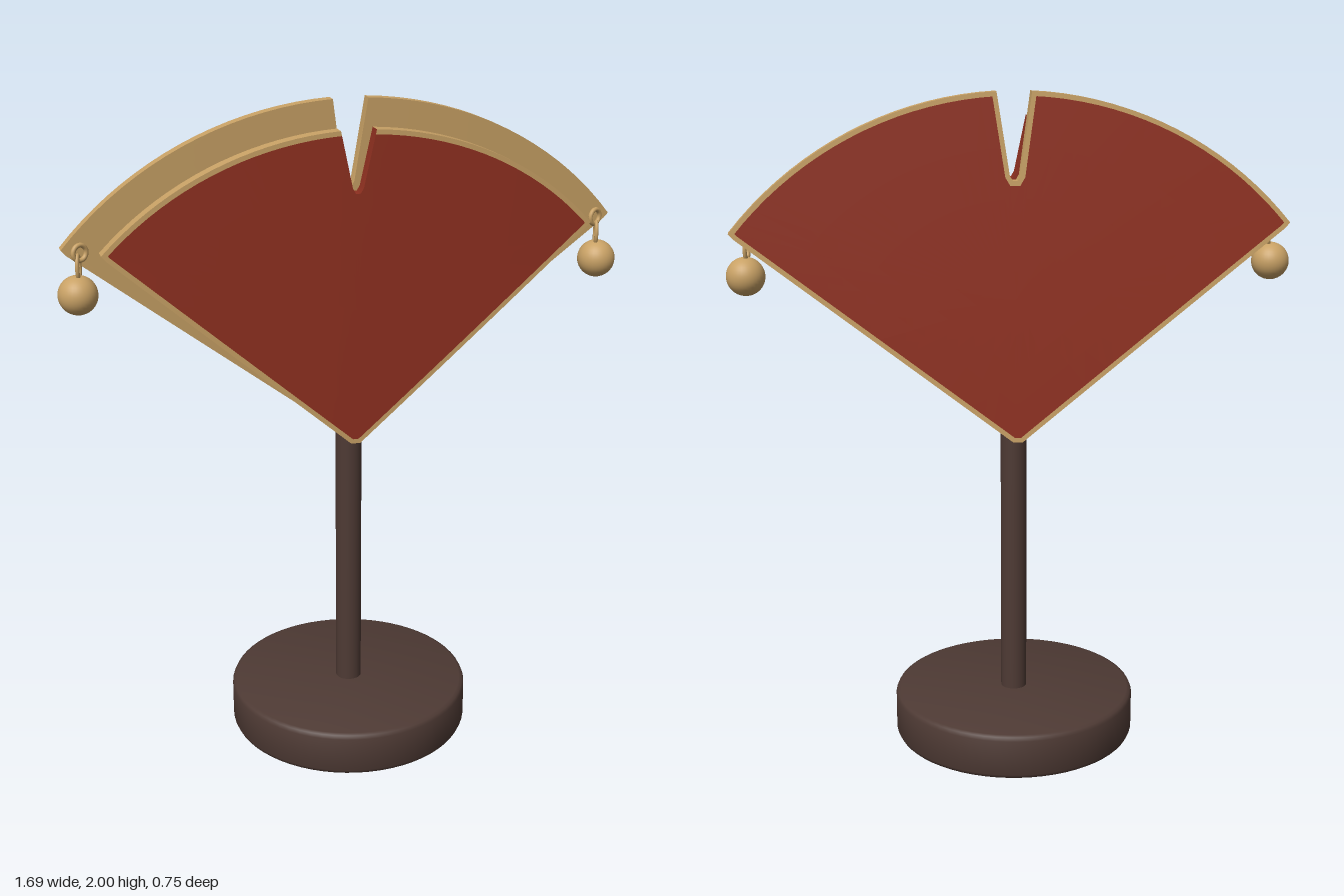
import * as THREE from 'three';
import { toCreasedNormals } from 'three/addons/utils/BufferGeometryUtils.js';

const paint = (name, color) => {
  const m = new THREE.MeshStandardMaterial({ color });
  m.name = name;
  return m;
};

// Fan outline, counter-clockwise from the right of the apex; notch marks edges of the top slit
function fanOutline({ cornerX, cornerY, topY, apexY, arcY = 0.92 }) {
  const half = [];
  const chamfer = [cornerX - 0.014, cornerY - 0.016];
  for (let i = 0; i <= 12; i++) {
    const t = i / 12;
    half.push([0.014 + (chamfer[0] - 0.014) * t, apexY + (chamfer[1] - apexY) * t]);
  }
  const a0 = Math.atan2(cornerY - arcY, cornerX);
  const a1 = Math.atan2(topY - arcY, 0.052);
  const r0 = Math.hypot(cornerX, cornerY - arcY), r1 = Math.hypot(0.052, topY - arcY);
  for (let i = 0; i <= 18; i++) {
    const t = i / 18, a = a0 + (a1 - a0) * t, r = r0 + (r1 - r0) * t;
    half.push([Math.cos(a) * r, arcY + Math.sin(a) * r]);
  }
  const slitStart = half.length - 1;
  half.push([0.016, 1.76], [0.007, 1.745]);
  const mirrored = half.map(([x, y]) => [-x, y]).reverse();
  const points = [...half, ...mirrored];
  const slitEnd = points.length - 1 - slitStart;
  return { points, isSlit: (k) => k >= slitStart && k < slitEnd };
}

// Shift every edge inward by its own distance and intersect neighbours
function insetOutline(points, distance) {
  const n = points.length;
  const normal = (k) => {
    const [ax, ay] = points[k], [bx, by] = points[(k + 1) % n];
    const l = Math.hypot(bx - ax, by - ay);
    return [-(by - ay) / l, (bx - ax) / l];
  };
  return points.map(([x, y], k) => {
    const p = (k + n - 1) % n;
    const [ux, uy] = normal(p), [vx, vy] = normal(k);
    const du = distance(p), dv = distance(k), det = ux * vy - uy * vx;
    if (Math.abs(det) < 1e-3) return [x + ux * du, y + uy * du];
    return [x + (du * vy - dv * uy) / det, y + (ux * dv - vx * du) / det];
  });
}

// Leaning, slightly bowed fan leaf: rim mesh and coloured face mesh
function makeLeaf(name, o, rimMat, faceMat) {
  const { points, isSlit } = fanOutline(o);
  const n = points.length;
  const inner = insetOutline(points, (k) => (o.redSlit && isSlit(k) ? 0 : 0.014));
  const hub = [0, 1.4];
  const rings = [points];
  for (const s of [1, 0.75, 0.5, 0.25, 0]) {
    rings.push(inner.map(([x, y]) => [hub[0] + (x - hub[0]) * s, hub[1] + (y - hub[1]) * s]));
  }
  const place = ([x, y], side) => [x, y, o.z + (y - o.apexY) * o.lean - o.bow * x * x + side * o.halfThickness];
  const rim = [], face = [];
  const quad = (out, a, b, c, d) => out.push(...a, ...b, ...c, ...a, ...c, ...d);
  for (let k = 0; k < n; k++) {
    const m = (k + 1) % n;
    for (let r = 0; r < rings.length - 1; r++) {
      const loop = [rings[r][k], rings[r][m], rings[r + 1][m], rings[r + 1][k]];
      const back = [...loop].reverse();
      quad(r === 0 || o.plainFront ? rim : face, ...loop.map((p) => place(p, 1)));
      quad(r === 0 ? rim : face, ...back.map((p) => place(p, -1)));
    }
    const a = points[k], b = points[m];
    quad(o.redSlit && isSlit(k) ? face : rim, place(a, 1), place(a, -1), place(b, -1), place(b, 1));
  }
  const group = new THREE.Group();
  group.name = name;
  for (const [part, data, mat] of [['Rim', rim, rimMat], ['Faces', face, faceMat]]) {
    const geo = new THREE.BufferGeometry();
    geo.setAttribute('position', new THREE.Float32BufferAttribute(data, 3));
    const mesh = new THREE.Mesh(toCreasedNormals(geo, 0.5), mat);
    mesh.name = name + part;
    group.add(mesh);
  }
  return group;
}

export function createModel() {
  const wood = paint('dark wood', 0x4e3a34);
  const gold = paint('gold', 0xc8a165);
  const red = paint('red', 0x8f3020);
  const model = new THREE.Group();
  model.name = 'fanStand';
  const add = (parent, name, geo, mat, x = 0, y = 0, z = 0) => {
    const mesh = new THREE.Mesh(geo, mat);
    mesh.name = name;
    mesh.position.set(x, y, z);
    parent.add(mesh);
    return mesh;
  };

  // Round base with softened edges
  const profile = [[0, 0], [0.36, 0], [0.37, 0.004], [0.375, 0.015], [0.375, 0.125], [0.37, 0.136], [0.36, 0.14], [0, 0.14]]
    .map(([x, y]) => new THREE.Vector2(x, y));
  add(model, 'base', toCreasedNormals(new THREE.LatheGeometry(profile, 64), 0.8), wood);

  // Pole
  add(model, 'pole', new THREE.CylinderGeometry(0.04, 0.04, 1.4, 32), wood, 0, 0.82, 0.002);

  // Two fan leaves either side of the pole
  model.add(makeLeaf('frontLeaf', {
    cornerX: 0.73, cornerY: 1.61, topY: 1.925, apexY: 0.978,
    z: 0.062, lean: 0.027, bow: 0.035, halfThickness: 0.021, redSlit: true,
  }, gold, red));
  model.add(makeLeaf('backLeaf', {
    cornerX: 0.83, cornerY: 1.61, topY: 2.0, apexY: 0.97,
    z: -0.073, lean: 0.076, bow: 0.012, halfThickness: 0.019, plainFront: true,
  }, gold, red));

  // Hanging beads with a ring and link at each corner
  for (const [side, x, y] of [['left', 0.787, 1.477], ['right', -0.792, 1.486]]) {
    const pendant = new THREE.Group();
    pendant.name = side + 'Pendant';
    const ringX = x - Math.sign(x) * 0.012;
    add(pendant, 'bead', new THREE.SphereGeometry(0.057, 32, 20), gold, x, y, 0.011);
    add(pendant, 'ring', new THREE.TorusGeometry(0.022, 0.007, 10, 24), gold, ringX, 1.607, 0.012).rotation.y = 0.5;
    const link = add(pendant, 'link', new THREE.TorusGeometry(0.018, 0.006, 10, 24), gold, x - Math.sign(x) * 0.006, y + 0.08, 0.012);
    link.rotation.y = Math.PI / 2 - 0.3;
    link.scale.y = 1.7;
    model.add(pendant);
  }
  return model;
}
